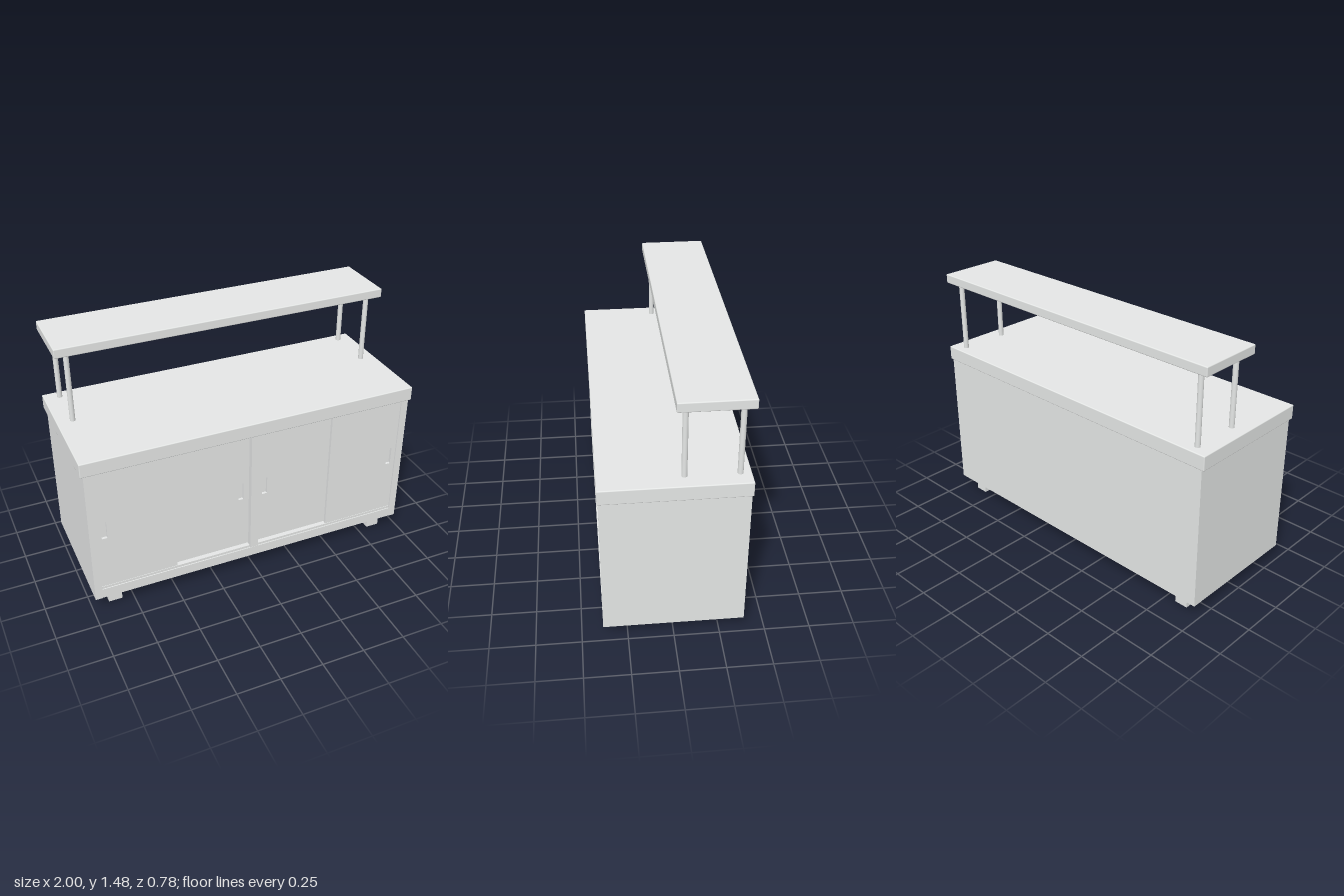
import * as THREE from 'three';
import { RoundedBoxGeometry } from 'three/addons/geometries/RoundedBoxGeometry.js';

const steel = new THREE.MeshStandardMaterial({ color: 0xe4e6e5, side: THREE.DoubleSide });
steel.name = 'brushed steel';

export function createModel() {
  const root = new THREE.Group();
  root.name = 'sliding door counter';

  const add = (name, geometry, parent = root) => {
    const mesh = new THREE.Mesh(geometry, steel);
    mesh.name = name;
    parent.add(mesh);
    return mesh;
  };

  // Box given by its limits; openBottom leaves out the lower face, as in folded sheet metal
  const box = (name, [x0, x1], [y0, y1], [z0, z1], openBottom = false, parent = root) => {
    const g = new THREE.BoxGeometry(x1 - x0, y1 - y0, z1 - z0);
    if (openBottom) {
      const index = Array.from(g.index.array);
      index.splice(18, 6);
      g.setIndex(index);
      g.clearGroups();
    }
    g.translate((x0 + x1) / 2, (y0 + y1) / 2, (z0 + z1) / 2);
    return add(name, g, parent);
  };

  // Worktop and raised shelf, with slightly softened edges
  const slab = (name, width, [y0, y1], [z0, z1]) => {
    const mesh = add(name, new RoundedBoxGeometry(width, y1 - y0, z1 - z0, 2, 0.006));
    mesh.position.set(0, (y0 + y1) / 2, (z0 + z1) / 2);
  };
  slab('worktop', 2, [0.927, 1.012], [-0.389, 0.389]);
  slab('upperShelf', 1.966, [1.425, 1.479], [-0.382, 0.001]);

  // Hollow cabinet body, its floor set up inside the lower rails
  box('backPanel', [-0.94, 0.94], [0.083, 0.928], [-0.383, -0.379]);
  box('bottomRail', [-0.94, 0.94], [0.085, 0.145], [0.345, 0.383], true);
  box('cabinetFloor', [-0.94, 0.94], [0.134, 0.144], [-0.38, 0.346]);
  box('centreDivider', [-0.025, 0.025], [0.12, 0.928], [-0.378, 0.382], true);

  // Sliding door with a recessed pull
  const door = (name, x0, x1, pullX, front) => {
    const group = new THREE.Group();
    group.name = name;
    root.add(group);
    const shape = new THREE.Shape();
    shape.moveTo(x0, 0.15).lineTo(x1, 0.15).lineTo(x1, 0.928).lineTo(x0, 0.928).closePath();
    const hole = new THREE.Path();
    const [a, b] = [pullX - 0.016, pullX + 0.016];
    hole.moveTo(a, 0.492).lineTo(a, 0.603).lineTo(b, 0.603).lineTo(b, 0.492).closePath();
    shape.holes.push(hole);
    const panel = new THREE.ExtrudeGeometry(shape, { depth: 0.018, bevelEnabled: false });
    panel.translate(0, 0, front - 0.018);
    add('doorPanel', panel, group);
    box('pullBack', [a - 0.004, b + 0.004], [0.488, 0.607], [front - 0.02, front - 0.016], false, group);
  };

  for (const s of [-1, 1]) {
    const side = s > 0 ? 'left' : 'right';
    const span = (a, b) => (s > 0 ? [a, b] : [-b, -a]);

    box(side + 'SidePanel', span(0.94, 0.983), [0.083, 0.928], [-0.383, 0.383], true);
    door(side + 'OuterDoor', ...span(0.485, 0.94), s * 0.897, 0.374);
    door(side + 'InnerDoor', ...span(0.025, 0.5), s * 0.075, 0.349);
    box(side + 'DoorTrack', span(0.028, 0.938), [0.143, 0.16], [0.33, 0.377]);

    for (const z of [-0.297, 0.297]) {
      // Square tube foot, open below
      box(side + 'Foot', span(0.817, 0.897), [0, 0.136], [z - 0.04, z + 0.04], true);
    }
    for (const z of [-0.33, -0.05]) {
      const post = add(side + 'ShelfPost', new THREE.CylinderGeometry(0.015, 0.015, 0.42, 20, 1, true));
      post.position.set(s * 0.91, 1.219, z);
    }
  }
  return root;
}
